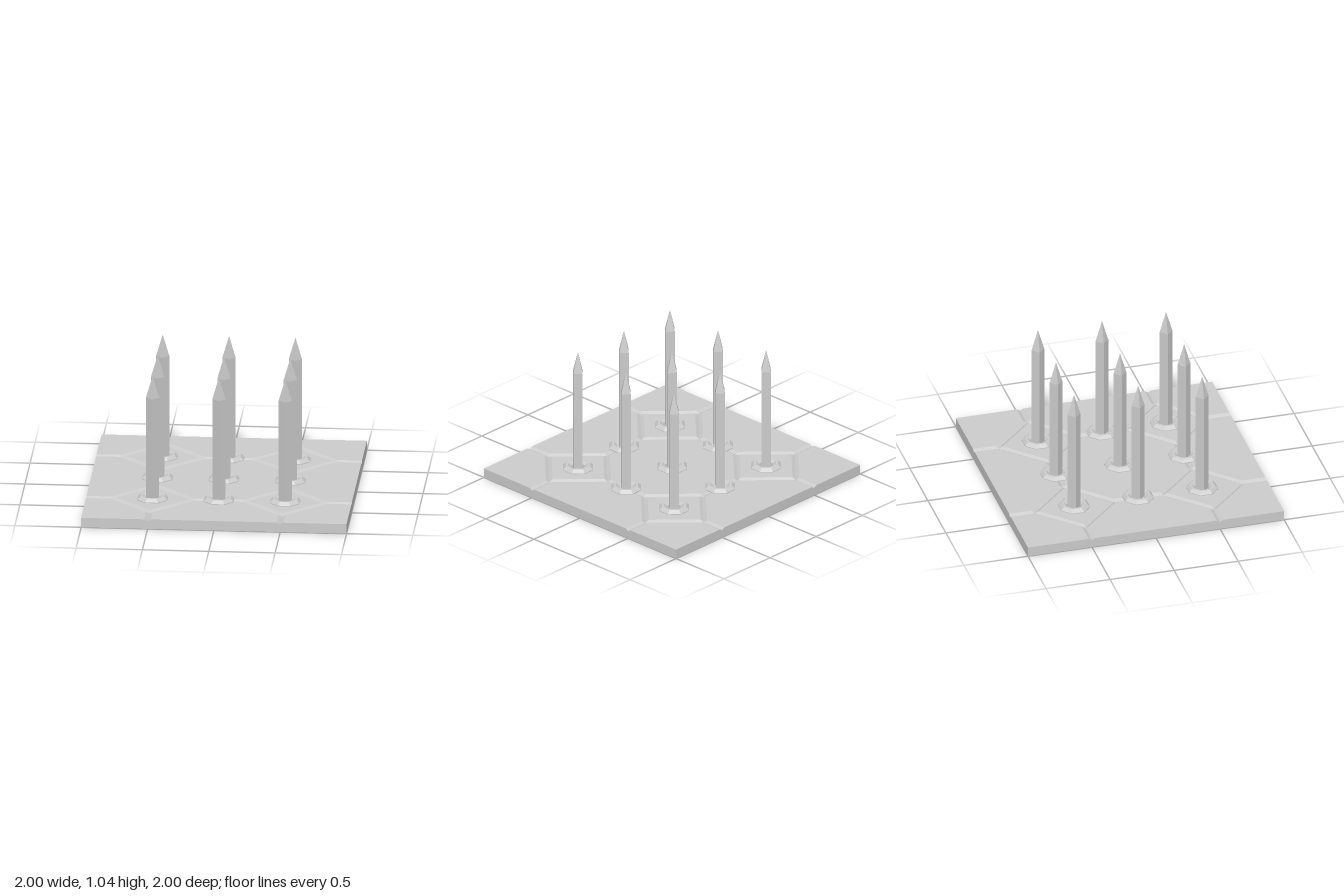
import * as THREE from 'three';

const TOP = 0.075, GROOVE = 0.06, BEVEL = 0.025;
const SPACING = 0.5, DIAMOND = 0.31;
const material = new THREE.MeshStandardMaterial({ color: 0xcccccc, flatShading: true, side: THREE.DoubleSide });

function addMesh(parent, geometry, name) {
  const mesh = new THREE.Mesh(geometry, material);
  mesh.name = name;
  parent.add(mesh);
  return mesh;
}

// Octagon corner radius for a given distance to its flats
const octRadius = (flat) => flat / Math.cos(Math.PI / 8);

const onBorder = (a, b) =>
  (Math.abs(a.x) > 0.999 && Math.abs(a.x - b.x) < 1e-6) || (Math.abs(a.y) > 0.999 && Math.abs(a.y - b.y) < 1e-6);

// Inset a counter-clockwise convex outline, keeping the edges on the outer border in place
function inset(points) {
  const n = points.length;
  const lines = points.map((a, i) => {
    const b = points[(i + 1) % n];
    const d = b.clone().sub(a).normalize();
    const normal = new THREE.Vector2(-d.y, d.x);
    return { normal, offset: normal.dot(a) + (onBorder(a, b) ? 0 : BEVEL) };
  });
  return lines.map((line, i) => {
    const prev = lines[(i + n - 1) % n], p = prev.normal, q = line.normal;
    const det = p.x * q.y - p.y * q.x;
    return new THREE.Vector2(
      (prev.offset * q.y - line.offset * p.y) / det,
      (p.x * line.offset - q.x * prev.offset) / det
    );
  });
}

// One floor tile: flat plate, sloped groove sides and outer walls
function makeTile(outline, hole) {
  const tile = new THREE.Group();
  tile.name = 'floorTile';
  const inner = inset(outline);

  const shape = new THREE.Shape(inner);
  if (hole) {
    const r = octRadius(0.1);
    const ring = Array.from({ length: 8 }, (_, i) => {
      const a = -(i + 0.5) * Math.PI / 4;
      return new THREE.Vector2(hole.x + r * Math.cos(a), hole.y + r * Math.sin(a));
    });
    shape.holes.push(new THREE.Path(ring));
  }
  const plate = new THREE.ShapeGeometry(shape).rotateX(-Math.PI / 2).translate(0, TOP, 0);
  addMesh(tile, plate, 'tilePlate');

  const verts = [];
  const fan = (poly) => {
    for (let i = 1; i < poly.length - 1; i++) verts.push(...poly[0], ...poly[i], ...poly[i + 1]);
  };
  const at = (p, y) => [p.x, y, -p.y];
  outline.forEach((a, i) => {
    const j = (i + 1) % outline.length, b = outline[j];
    const rim = [at(b, GROOVE), at(inner[j], TOP), at(inner[i], TOP), at(a, GROOVE)];
    fan(onBorder(a, b) ? [at(a, 0), at(b, 0), ...rim] : rim);
  });
  const sides = new THREE.BufferGeometry();
  sides.setAttribute('position', new THREE.Float32BufferAttribute(verts, 3));
  sides.computeVertexNormals();
  addMesh(tile, sides, 'tileSides');
  return tile;
}

function makeFloor() {
  const floor = new THREE.Group();
  floor.name = 'floor';
  const s = SPACING, near = s - DIAMOND, far = s + DIAMOND;
  const turned = (list, k) => list.map(([x, y]) =>
    new THREE.Vector2(x, y).rotateAround(new THREE.Vector2(), k * Math.PI / 2));

  const centre = [[s, -near], [s, near], [near, s], [-near, s], [-s, near], [-s, -near], [-near, -s], [near, -s]];
  floor.add(makeTile(turned(centre, 0), new THREE.Vector2()));

  const diamond = [[far, s], [s, far], [near, s], [s, near]];
  const corner = [[s, far], [far, s], [1, s], [1, 1], [s, 1]];
  const edge = [[-near, s], [near, s], [s, far], [s, 1], [-s, 1], [-s, far]];
  for (let k = 0; k < 4; k++) {
    floor.add(makeTile(turned(diamond, k), turned([[s, s]], k)[0]));
    floor.add(makeTile(turned(corner, k)));
    floor.add(makeTile(turned(edge, k)));
  }
  return floor;
}

const lathe = (points, sides, start) =>
  new THREE.LatheGeometry(points.map(([r, y]) => new THREE.Vector2(r, y)), sides, start).toNonIndexed();

export function createModel() {
  const model = new THREE.Group();
  model.name = 'spikeTrap';
  model.add(makeFloor());

  // Octagonal collar with a recessed middle, and a square pointed spike
  const collarProfile = [[0.113, 0.072], [0.113, 0.08], [0.09, 0.103], [0.074, 0.103], [0.05, 0.085]]
    .map(([flat, y]) => [octRadius(flat), y]);
  const collar = lathe(collarProfile, 8, Math.PI / 8);
  const spike = lathe([[0.05, 0.075], [0.05, 0.875], [0, 1.045]], 4, 0);

  for (const x of [-SPACING, 0, SPACING]) {
    for (const z of [-SPACING, 0, SPACING]) {
      const unit = new THREE.Group();
      unit.name = 'spikeUnit';
      unit.position.set(x, 0, z);
      addMesh(unit, collar, 'collar');
      addMesh(unit, spike, 'spike');
      model.add(unit);
    }
  }
  return model;
}
